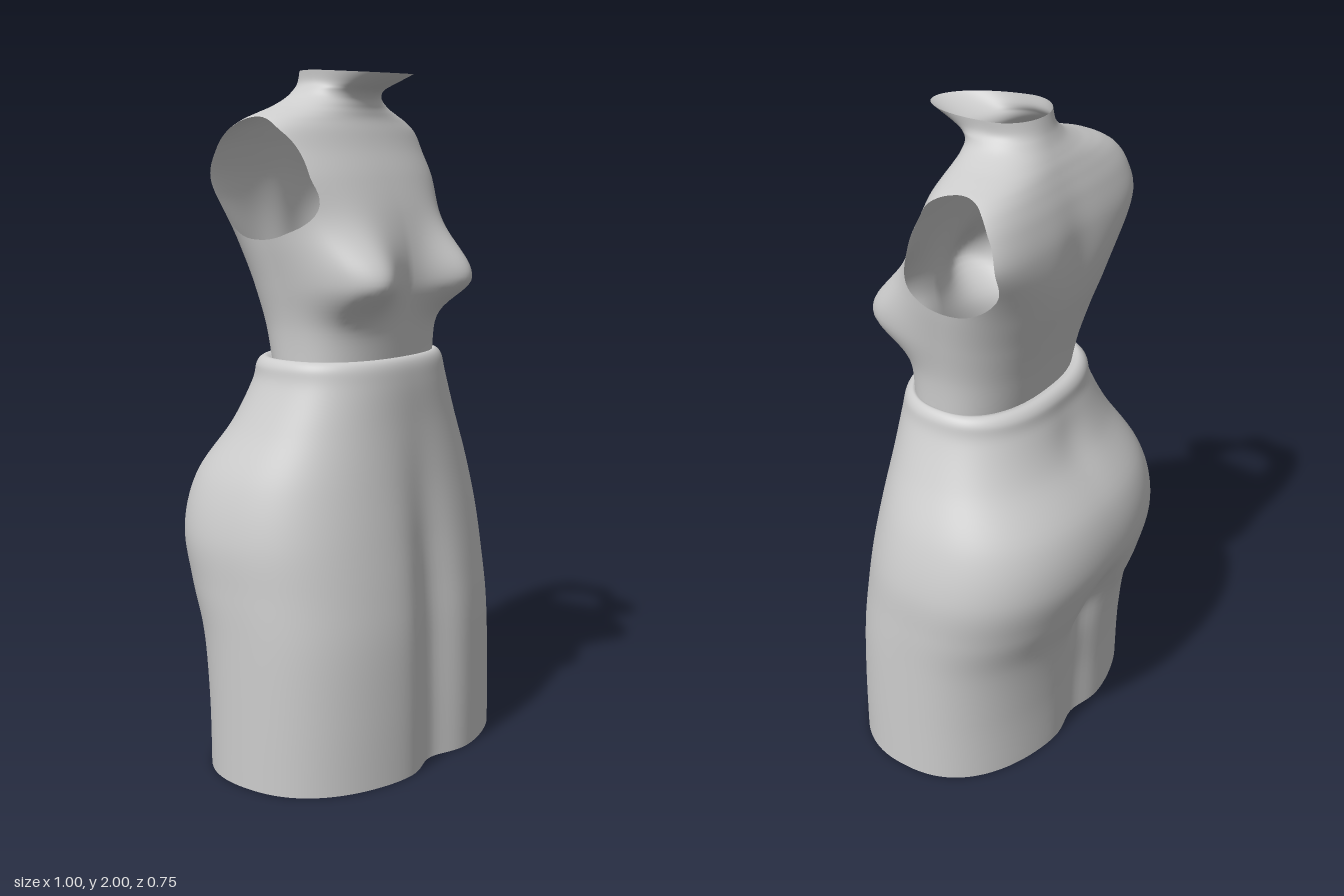
import * as THREE from 'three';

const SIDES = 144, STEPS = 7;
const bell = (d, s) => Math.exp(-(d * d) / (s * s));
const fade = THREE.MathUtils.smoothstep;

// Catmull-Rom between four values
function cubic(a, b, c, d, t) {
  const m0 = (c - a) / 2, m1 = (d - b) / 2;
  return b + m0 * t + (3 * (c - b) - 2 * m0 - m1) * t * t + (2 * (b - c) + m0 + m1) * t * t * t;
}

// Smooth skin through rounded-box cross-sections. Row: height, half width, front z, back z.
// style(y, middle z) gives the middle, the squareness and the centre dents at each height.
function loft(rows, style, adjust = () => {}) {
  const pos = [], index = [];
  const last = rows.length - 1, total = last * STEPS;
  const row = i => rows[Math.max(0, Math.min(last, i))];
  for (let k = 0; k <= total; k++) {
    const i = Math.min(Math.floor(k / STEPS), last - 1), t = k / STEPS - i;
    const [y, w, zf, zb] = row(i).map((_, c) =>
      cubic(row(i - 1)[c], row(i)[c], row(i + 1)[c], row(i + 2)[c], t));
    const { mid, squareFront, squareBack, dentFront, dentBack } = style(y, (zf + zb) / 2);
    for (let j = 0; j < SIDES; j++) {
      const a = j / SIDES * Math.PI * 2, c = Math.cos(a), s = Math.sin(a);
      const n = s >= 0 ? squareFront : squareBack;
      const r = Math.pow(Math.abs(c) ** n + Math.abs(s) ** n, -1 / n);
      const p = new THREE.Vector3(w * r * c, y, mid + r * s * (s >= 0 ? zf - mid : mid - zb));
      p.z -= s >= 0 ? dentFront * s * bell(p.x, 0.09) : dentBack * s * bell(p.x, 0.08);
      adjust(p, s);
      pos.push(p.x, p.y, p.z);
      if (k < total) {
        const o = k * SIDES + j, b = k * SIDES + (j + 1) % SIDES;
        index.push(o, o + SIDES, b, b, o + SIDES, b + SIDES);
      }
    }
  }
  const g = new THREE.BufferGeometry();
  g.setAttribute('position', new THREE.Float32BufferAttribute(pos, 3));
  g.setIndex(index);
  g.computeVertexNormals();
  return g;
}

// Armhole seen from the side: radius every 30 degrees, from the front going up
const HOLE = [0.145, 0.13, 0.14, 0.163, 0.18, 0.172, 0.17, 0.178, 0.175, 0.168, 0.175, 0.192];
function outsideHole(p) {
  const dz = p.z + 0.02, dy = p.y - 1.7;
  const a = (Math.atan2(dy, dz) / Math.PI * 6 + 12) % 12, i = Math.floor(a);
  const at = k => HOLE[(k + 12) % 12];
  return Math.hypot(dz, dy) - cubic(at(i - 1), at(i), at(i + 1), at(i + 2), a - i);
}

// Trim every triangle to the part where keep(p) is positive
function trim(geometry, keep) {
  const P = geometry.attributes.position, N = geometry.attributes.normal, I = geometry.index;
  const pos = [], nor = [];
  const verts = Array.from({ length: P.count }, (_, i) => {
    const p = new THREE.Vector3().fromBufferAttribute(P, i);
    return { p, n: new THREE.Vector3().fromBufferAttribute(N, i), f: keep(p) };
  });
  for (let i = 0; i < I.count; i += 3) {
    const tri = [0, 1, 2].map(k => verts[I.getX(i + k)]), out = [];
    tri.forEach((a, k) => {
      const b = tri[(k + 1) % 3];
      if (a.f >= 0) out.push(a);
      if ((a.f >= 0) !== (b.f >= 0)) {
        const t = a.f / (a.f - b.f);
        out.push({ p: a.p.clone().lerp(b.p, t), n: a.n.clone().lerp(b.n, t).normalize() });
      }
    });
    for (let k = 1; k + 1 < out.length; k++) {
      for (const v of [out[0], out[k], out[k + 1]]) {
        pos.push(...v.p.toArray());
        nor.push(...v.n.toArray());
      }
    }
  }
  const g = new THREE.BufferGeometry();
  g.setAttribute('position', new THREE.Float32BufferAttribute(pos, 3));
  g.setAttribute('normal', new THREE.Float32BufferAttribute(nor, 3));
  return g;
}

// Long skirt with a rolled waistband
const SKIRT = [
  [0, 0.5, 0.385, -0.27],
  [0.2, 0.5, 0.383, -0.275],
  [0.4, 0.5, 0.376, -0.298],
  [0.55, 0.5, 0.36, -0.347],
  [0.7, 0.495, 0.337, -0.38],
  [0.85, 0.455, 0.312, -0.35],
  [1, 0.378, 0.289, -0.247],
  [1.12, 0.322, 0.275, -0.195],
  [1.175, 0.308, 0.264, -0.182],
  [1.195, 0.288, 0.245, -0.158],
  [1.185, 0.27, 0.225, -0.125],
];
const skirtStyle = (y, mid) => ({
  mid,
  squareFront: 2.35,
  squareBack: 2.35,
  dentFront: 0.045 * (1 - fade(y, 0.3, 1.15)),
  dentBack: 0.03 * (1 - fade(y, 0.5, 0.68)) + 0.02 * bell(y - 0.46, 0.1) + 0.01 * bell(y - 1.04, 0.08),
});

// Sleeveless top, from the waist over the shoulders to the collar
const TOP = [
  [1.18, 0.278, 0.232, -0.132],
  [1.29, 0.284, 0.24, -0.158],
  [1.4, 0.305, 0.252, -0.192],
  [1.5, 0.327, 0.246, -0.223],
  [1.6, 0.35, 0.222, -0.236],
  [1.7, 0.388, 0.182, -0.231],
  [1.78, 0.38, 0.142, -0.21],
  [1.83, 0.358, 0.12, -0.19],
  [1.86, 0.315, 0.107, -0.176],
  [1.88, 0.262, 0.102, -0.166],
  [1.9, 0.205, 0.1, -0.154],
  [1.925, 0.155, 0.104, -0.139],
  [1.95, 0.13, 0.124, -0.127],
  [1.97, 0.119, 0.17, -0.12],
  [2, 0.12, 0.245, -0.112],
];
const topStyle = (y, mid) => ({
  mid: y > 1.9 ? Math.min(mid, 0) : mid,
  squareFront: 2.45 - 0.45 * fade(y, 1.5, 1.9),
  squareBack: 2.3 - 0.3 * fade(y, 1.8, 1.9) + 2.1 * bell(y - 1.73, 0.14),
  dentFront: 0,
  dentBack: 0.014 * bell(y - 1.56, 0.22),
});

function shapeTop(p, s) {
  if (s <= 0) return;
  // bust: soft slope above, tighter curve below
  const g = bell(Math.abs(p.x) - 0.2, 0.11) * bell(p.y - 1.41, p.y > 1.41 ? 0.12 : 0.075) * Math.min(1, s * 1.6);
  p.z += 0.105 * g;
  p.x += Math.sign(p.x) * 0.018 * g;
  // front of the collar dips slightly
  p.y -= 0.015 * s * fade(p.y, 1.9, 2);
}

export function createModel() {
  const cloth = new THREE.MeshStandardMaterial({ color: 0xcccccc, side: THREE.DoubleSide });
  cloth.name = 'light grey';
  const group = new THREE.Group();
  group.name = 'dressForm';
  const add = (name, geometry) => {
    const mesh = new THREE.Mesh(geometry, cloth);
    mesh.name = name;
    group.add(mesh);
  };
  add('skirt', loft(SKIRT, skirtStyle));
  add('sleevelessTop', trim(loft(TOP, topStyle, shapeTop), outsideHole));
  return group;
}
